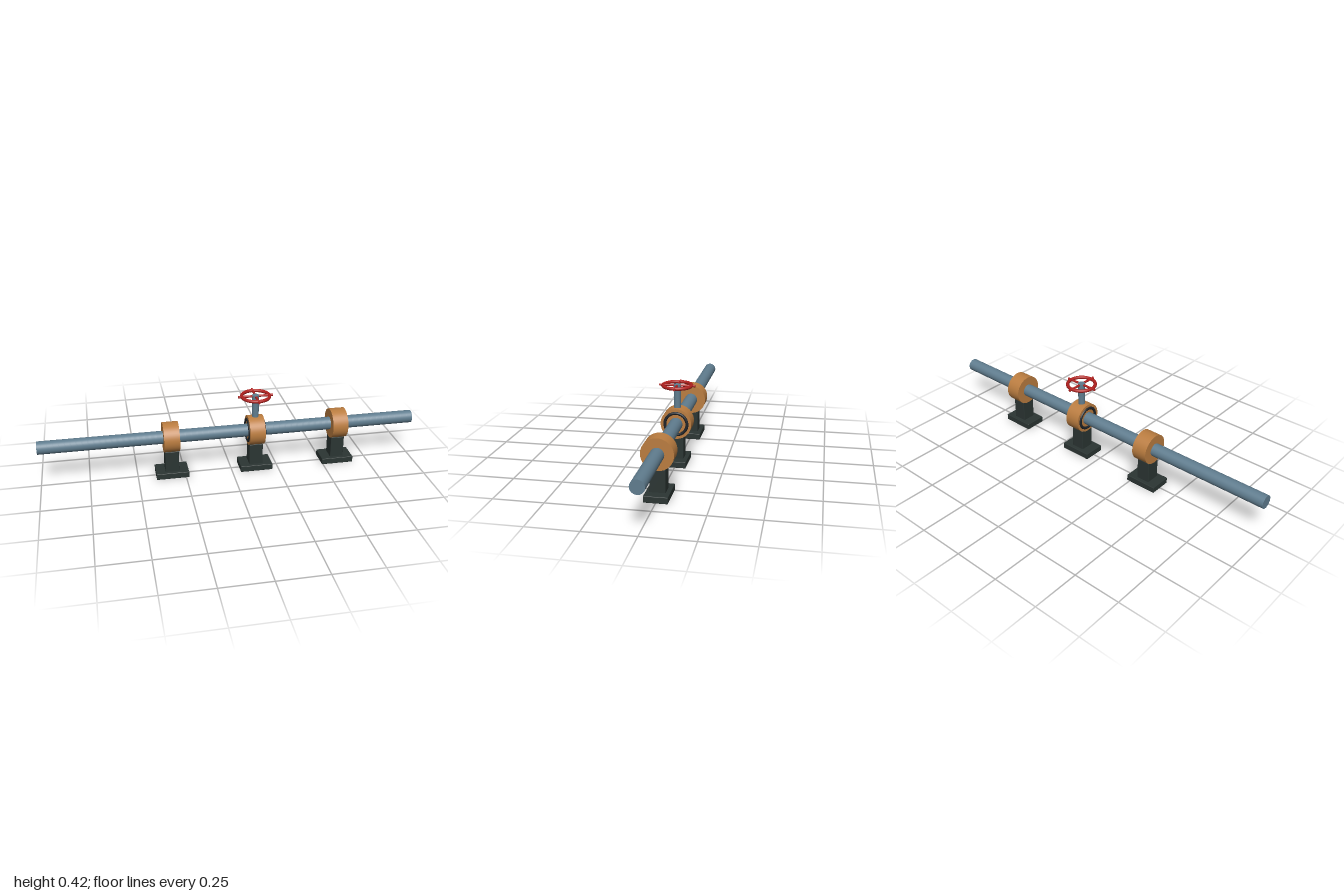
import * as THREE from 'three';
import { RoundedBoxGeometry } from 'three/addons/geometries/RoundedBoxGeometry.js';

export function createModel() {
  const model = new THREE.Group();
  model.name = 'pipeline';
  const mat = (name, color) => {
    const m = new THREE.MeshStandardMaterial({ color });
    m.name = name;
    return m;
  };
  const steel = mat('blue grey steel', 0x607d8f);
  const brass = mat('brass', 0xbb7d40);
  const iron = mat('dark iron', 0x2b3533);
  const rubber = mat('black rubber', 0x1e2328);
  const red = mat('red paint', 0xb0201e);

  const add = (parent, name, geometry, material, x = 0, y = 0, z = 0) => {
    const mesh = new THREE.Mesh(geometry, material);
    mesh.name = name;
    mesh.position.set(x, y, z);
    parent.add(mesh);
    return mesh;
  };
  const alongX = (radius, length, sides = 40) =>
    new THREE.CylinderGeometry(radius, radius, length, sides).rotateZ(-Math.PI / 2);

  const axisY = 0.22;
  const valveX = 0.13;

  // Main pipe
  add(model, 'pipe', alongX(0.034, 2), steel, 0, axisY);

  // Three supports, each with a foot, a post and a collar
  for (const x of [valveX - 0.45, valveX, valveX + 0.45]) {
    const support = new THREE.Group();
    support.name = 'support';
    support.position.x = x;
    model.add(support);
    add(support, 'foot', new RoundedBoxGeometry(0.172, 0.033, 0.116, 2, 0.003), iron, 0, 0.0165);
    add(support, 'post', new RoundedBoxGeometry(0.072, 0.122, 0.075, 2, 0.003), iron, 0, 0.087);
    add(support, 'collar', alongX(0.079, 0.082, 48), brass, 0, axisY);
  }

  // Sealing rings on both faces of the valve collar
  for (const side of [-1, 1]) {
    const ring = new THREE.TorusGeometry(0.057, 0.008, 12, 40).rotateY(Math.PI / 2);
    add(model, 'sealRing', ring, rubber, valveX + side * 0.04, axisY);
  }

  // Valve stem and handwheel
  add(model, 'valveStem', new THREE.CylinderGeometry(0.018, 0.018, 0.13, 32), steel, valveX, 0.354);
  const wheel = new THREE.Group();
  wheel.name = 'handwheel';
  wheel.position.set(valveX, 0.413, 0);
  model.add(wheel);
  add(wheel, 'rim', new THREE.TorusGeometry(0.0725, 0.0088, 14, 48).rotateX(Math.PI / 2), red);
  for (const turn of [0, Math.PI / 2]) {
    add(wheel, 'spoke', alongX(0.006, 0.184, 16), red).rotation.y = turn;
  }
  return model;
}
